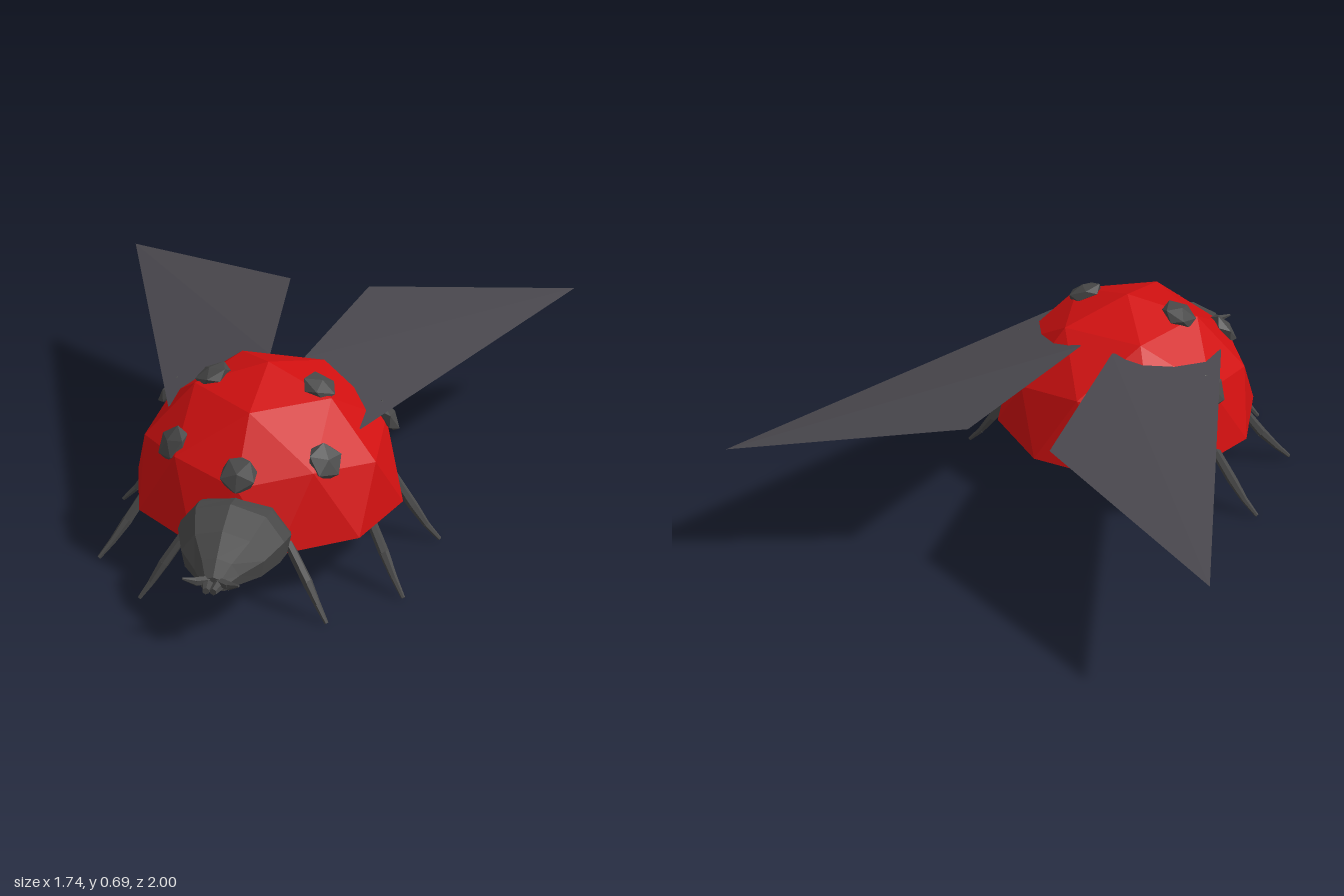
import * as THREE from 'three';

const paint = (color, side = THREE.FrontSide) =>
  new THREE.MeshStandardMaterial({ color, side, flatShading: true });
const red = paint(0xd01010);
const dark = paint(0x484848);
const wingGrey = paint(0x48464c, THREE.DoubleSide);

function add(parent, name, geometry, material) {
  const mesh = new THREE.Mesh(geometry, material);
  mesh.name = name;
  parent.add(mesh);
  return mesh;
}

// Geometry from corner points and triangle indices, unshared for flat facets
function facets(points, index) {
  const g = new THREE.BufferGeometry();
  g.setAttribute('position', new THREE.Float32BufferAttribute(points.flat(), 3));
  g.setIndex(index);
  const flat = g.toNonIndexed();
  flat.computeVertexNormals();
  return flat;
}

// Half of a faceted ball standing on a corner, its rim in the y = 0 plane
function halfBall(radius, upper, squash) {
  const ball = new THREE.IcosahedronGeometry(radius, 1);
  ball.rotateX(-Math.atan((1 + Math.sqrt(5)) / 2));
  const p = ball.attributes.position;
  const kept = [];
  for (let i = 0; i < p.count; i += 3) {
    const middle = p.getY(i) + p.getY(i + 1) + p.getY(i + 2);
    if (middle > 0 !== upper) continue;
    for (let k = i; k < i + 3; k++) kept.push([p.getX(k), p.getY(k) * squash, p.getZ(k)]);
  }
  return facets(kept, kept.map((_, i) => i));
}

// Domed cross-sections [z, half width, height] joined along z, flat underneath
function headGeometry() {
  const sections = [[0.6, 0.16, 0.17], [0.68, 0.188, 0.185], [0.74, 0.18, 0.195],
    [0.84, 0.14, 0.15], [0.91, 0.075, 0.09], [0.955, 0.04, 0.045]];
  const outline = [[-0.92, 0], [-1, 0.4], [-0.66, 0.84], [0, 1], [0.66, 0.84], [1, 0.4], [0.92, 0]];
  const n = outline.length;
  const points = [], index = [];
  sections.forEach(([z, w, h], s) => {
    outline.forEach(([x, y]) => points.push([x * w, 0.217 + y * h, z]));
    if (s === 0) return;
    for (let i = 0; i < n; i++) {
      const a = (s - 1) * n + i, b = (s - 1) * n + (i + 1) % n;
      index.push(a, b, a + n, b, b + n, a + n);
    }
  });
  const last = (sections.length - 1) * n;
  for (let i = 1; i < n - 1; i++) {
    index.push(0, i + 1, i);
    index.push(last, last + i, last + i + 1);
  }
  // Order the corners so every facet looks outwards
  const probe = new THREE.Vector3(0, 0.27, 0.75);
  for (let i = 0; i < index.length; i += 3) {
    const t = [0, 1, 2].map(k => new THREE.Vector3(...points[index[i + k]]));
    const tri = new THREE.Triangle(...t);
    const normal = tri.getNormal(new THREE.Vector3());
    if (normal.dot(t[0].sub(probe)) < 0) [index[i + 1], index[i + 2]] = [index[i + 2], index[i + 1]];
  }
  return facets(points, index);
}

// Tapered rod between two points
function rod(parent, name, from, to, r0, r1) {
  const a = new THREE.Vector3(...from), b = new THREE.Vector3(...to);
  const dir = b.clone().sub(a);
  const mesh = add(parent, name, new THREE.CylinderGeometry(r1, r0, dir.length(), 6), dark);
  mesh.position.copy(a).add(b).multiplyScalar(0.5);
  mesh.quaternion.setFromUnitVectors(new THREE.Vector3(0, 1, 0), dir.normalize());
}

export function createModel() {
  const model = new THREE.Group();
  model.name = 'ladybird';
  const centre = new THREE.Vector3(0, 0.22, 0.25);

  add(model, 'shell', halfBall(0.473, true, 1), red).position.copy(centre);
  add(model, 'belly', halfBall(0.473, false, 0.085), dark).position.copy(centre);
  add(model, 'head', headGeometry(), dark);

  // Spots: flattened faceted balls lying on the shell
  const spot = new THREE.IcosahedronGeometry(0.068, 0);
  spot.rotateX(-Math.atan((1 + Math.sqrt(5)) / 2));
  spot.scale(1, 0.42, 1);
  const addSpot = (x, y, z) => {
    const mesh = add(model, 'spot', spot, dark);
    mesh.position.set(x, y, z);
    const out = mesh.position.clone().sub(centre).normalize();
    mesh.quaternion.setFromUnitVectors(new THREE.Vector3(0, 1, 0), out);
  };
  addSpot(0, 0.465, 0.64);

  for (const s of [1, -1]) {
    addSpot(s * 0.185, 0.64, 0.285);
    addSpot(s * 0.26, 0.485, 0.515);
    addSpot(s * 0.385, 0.47, 0.11);

    // Legs: hip, knee, ankle, toe
    const legs = {
      frontLeg: [[0.17, 0.25, 0.66], [0.245, 0.13, 0.695], [0.285, 0.06, 0.715], [0.322, 0.005, 0.737]],
      middleLeg: [[0.38, 0.25, 0.4], [0.45, 0.13, 0.45], [0.495, 0.06, 0.49], [0.535, 0.007, 0.524]],
      backLeg: [[0.4, 0.25, 0.11], [0.48, 0.13, 0.11], [0.53, 0.06, 0.11], [0.58, 0.007, 0.11]]
    };
    for (const [name, path] of Object.entries(legs)) {
      const leg = new THREE.Group();
      leg.name = name;
      const p = path.map(([x, y, z]) => [s * x, y, z]);
      rod(leg, 'thigh', p[0], p[1], 0.017, 0.018);
      rod(leg, 'shin', p[1], p[2], 0.018, 0.012);
      rod(leg, 'foot', p[2], p[3], 0.012, 0.007);
      model.add(leg);
    }

    // Mouth parts
    rod(model, 'feeler', [s * 0.015, 0.245, 0.945], [s * 0.055, 0.245, 0.965], 0.015, 0.016);
    rod(model, 'feelerTip', [s * 0.05, 0.244, 0.962], [s * 0.093, 0.262, 0.985], 0.016, 0.004);
    rod(model, 'jaw', [s * 0.02, 0.235, 0.94], [s * 0.012, 0.235, 0.998], 0.022, 0.012);

    // Wings: thin sheets rooted in the shell, lower along the outer edge
    add(model, 'wing', facets([
      [s * 0.87, 0.515, -1], [s * 0.15, 0.595, -0.65],
      [s * 0.06, 0.595, 0], [s * 0.335, 0.515, 0.32]
    ], s > 0 ? [0, 1, 2, 0, 2, 3] : [0, 2, 1, 0, 3, 2]), wingGrey);
  }
  return model;
}
